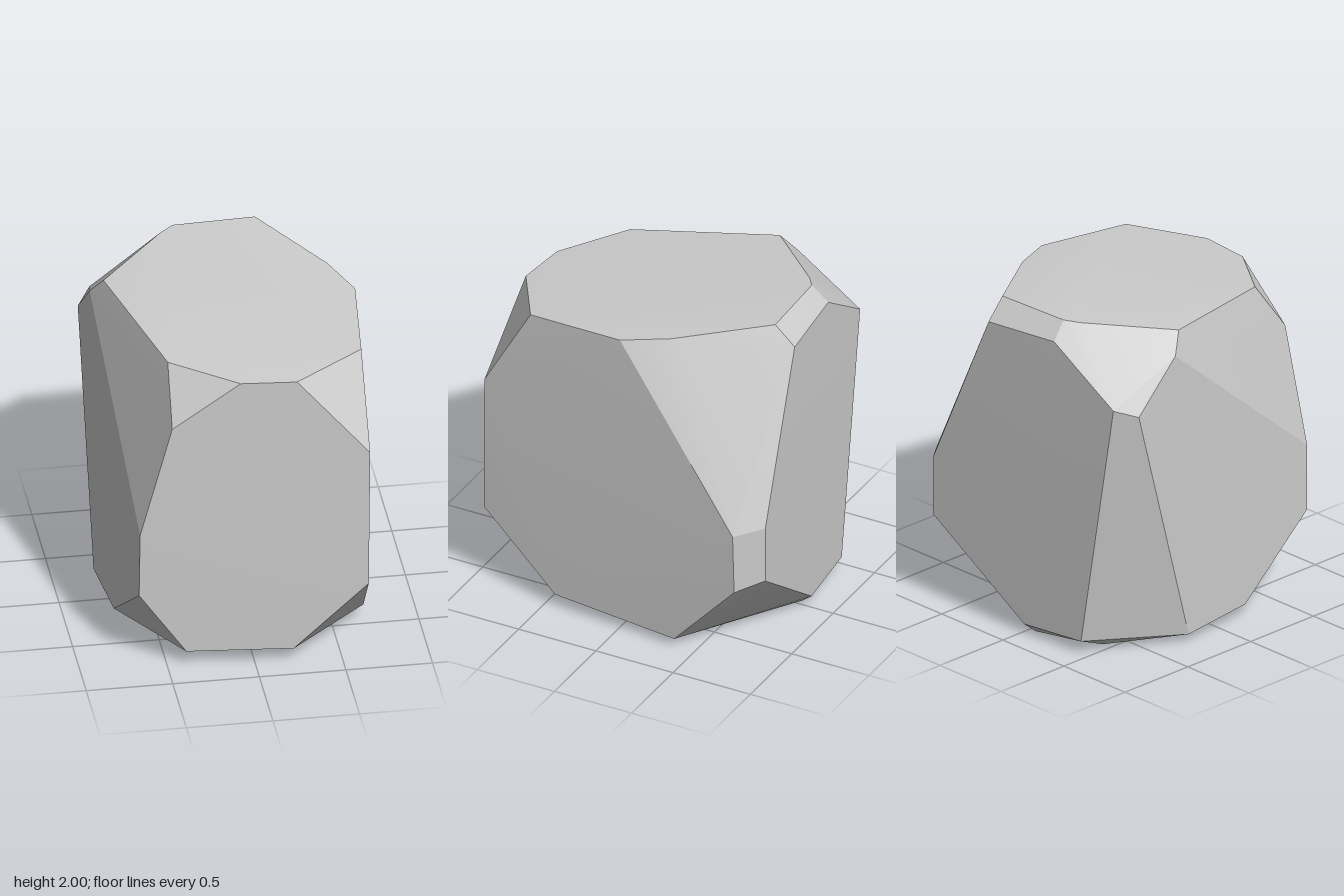
import * as THREE from 'three';
import { ConvexGeometry } from 'three/addons/geometries/ConvexGeometry.js';
import { toCreasedNormals } from 'three/addons/utils/BufferGeometryUtils.js';

// Corners of the boulder, grouped by the broad face they outline
const topCorners = [
  [-0.46, 1.87, 0.56], [-0.08, 1.85, 0.83], [0.24, 1.85, 0.86], [0.65, 1.885, 0.61], [0.71, 1.925, 0],
  [0.59, 1.948, -0.27], [0.25, 2, -0.76], [-0.23, 2, -0.74], [-0.31, 1.99, -0.68], [-0.7, 1.945, -0.28],
];
const frontCorners = [
  [-0.66, 0.47, 0.78], [-0.39, 0.09, 0.805], [0.22, 0.09, 0.865], [0.645, 0.51, 0.915],
  [0.655, 1.37, 0.905], [-0.47, 1.56, 0.79], [-0.655, 0.87, 0.785],
];
const rightCorners = [
  [0.69, 0.085, 0.43], [0.745, 0.05, -0.37], [0.785, 0.5, -0.78], [0.785, 0.87, -0.77],
];
const backCorners = [
  [0.66, 0.55, -0.915], [0.66, 0.9, -0.915], [0.24, 1.88, -0.88], [-0.25, 1.9, -0.835],
  [-0.7, 1.6, -0.8], [-0.45, 0.08, -0.815], [-0.02, 0.06, -0.85],
];
const leftCorners = [
  [-0.785, 1.55, -0.68], [-0.765, 1.83, -0.37], [-0.76, 0.05, -0.26], [-0.72, 0.07, 0.23],
];
const bottomCorners = [[-0.04, 0, -0.78], [-0.47, 0.02, -0.66]];

export function createModel() {
  const group = new THREE.Group();
  group.name = 'rock';

  // Chiselled boulder: convex hull, with shallow seams smoothed and hard facets kept
  const corners = [topCorners, frontCorners, rightCorners, backCorners, leftCorners, bottomCorners]
    .flat().map((p) => new THREE.Vector3(...p));
  const geometry = toCreasedNormals(new ConvexGeometry(corners), 0.2);
  const boulder = new THREE.Mesh(geometry, new THREE.MeshStandardMaterial({ color: 0xcccccc }));
  boulder.name = 'boulder';
  group.add(boulder);
  return group;
}
